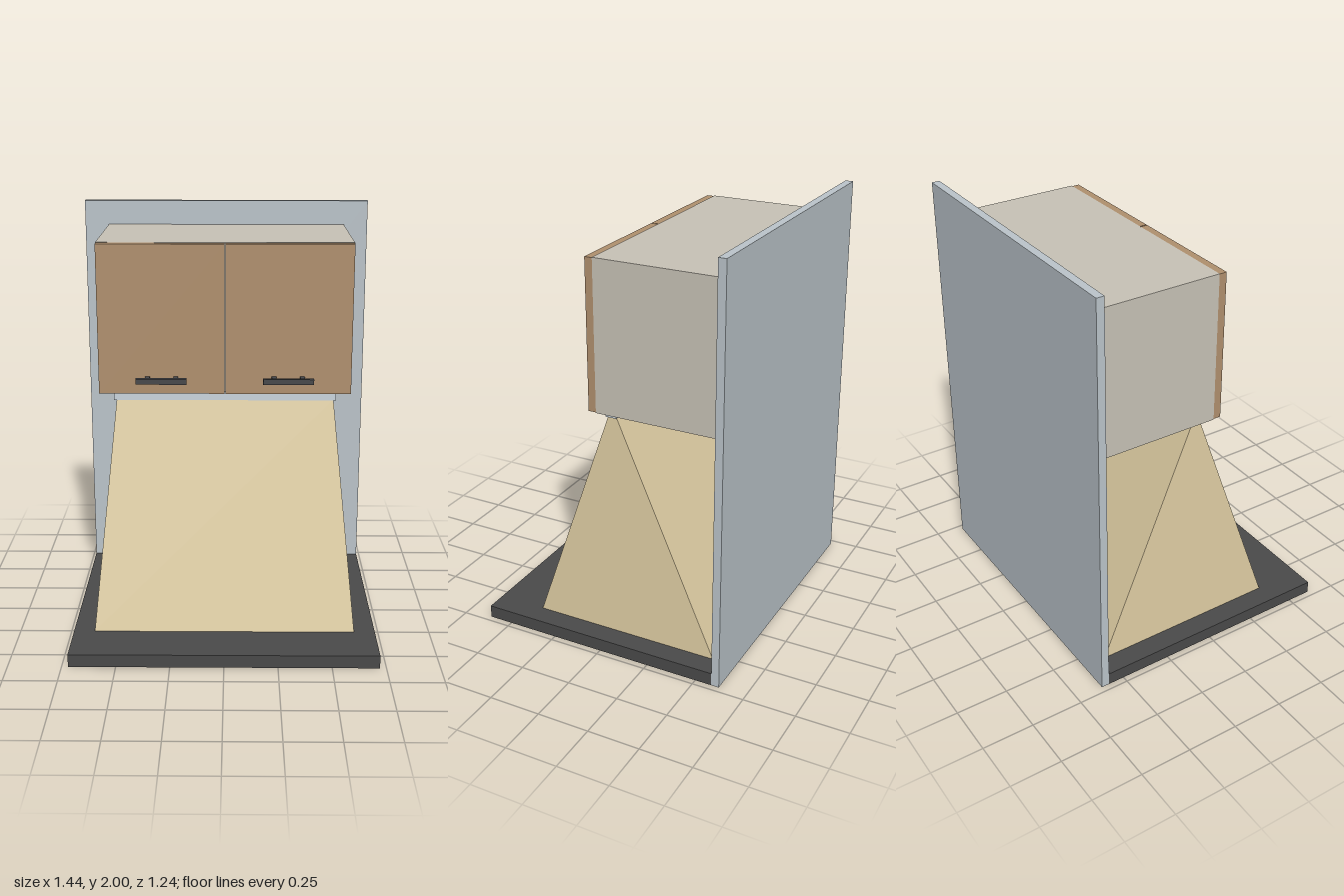
import * as THREE from 'three';

const material = (name, color) => {
  const m = new THREE.MeshStandardMaterial({ color });
  m.name = name;
  return m;
};

// Box given by its limits on each axis
function box(name, mat, [x0, x1], [y0, y1], [z0, z1]) {
  const mesh = new THREE.Mesh(new THREE.BoxGeometry(x1 - x0, y1 - y0, z1 - z0), mat);
  mesh.position.set((x0 + x1) / 2, (y0 + y1) / 2, (z0 + z1) / 2);
  mesh.name = name;
  return mesh;
}

export function createModel() {
  const wallBlue = material('wall blue grey', 0xbbc4ca);
  const charcoal = material('worktop charcoal', 0x4a4a4a);
  const cream = material('cabinet cream', 0xc7c2b6);
  const wood = material('door wood', 0xb0906e);
  const handleDark = material('handle dark', 0x47484b);
  const lampGrey = material('lamp pale grey', 0xcbd5de);
  const glow = material('light beam', 0xd9c89f);

  const model = new THREE.Group();
  model.name = 'wallCabinetWithLight';

  // Wall panel, worktop and cabinet body
  model.add(
    box('wall', wallBlue, [-0.72, 0.72], [0, 2], [-0.618, -0.58]),
    box('worktop', charcoal, [-0.72, 0.72], [0, 0.062], [-0.58, 0.618]),
    box('cabinetBody', cream, [-0.6, 0.6], [1.165, 1.88], [-0.58, 0.06]),
    box('lightBar', lampGrey, [-0.532, 0.532], [1.122, 1.165], [-0.003, 0.05])
  );

  // Pair of doors, each with a bar handle on two posts
  for (const side of [-1, 1]) {
    const door = new THREE.Group();
    door.name = side > 0 ? 'leftDoor' : 'rightDoor';
    const span = (a, b) => (side > 0 ? [a, b] : [-b, -a]);
    door.add(
      box('doorPanel', wood, span(0.003, 0.598), [1.167, 1.878], [0.06, 0.098]),
      box('handleBar', handleDark, span(0.18, 0.418), [1.229, 1.255], [0.142, 0.167])
    );
    for (const x of [0.232, 0.366]) {
      door.add(box('handlePost', handleDark, span(x - 0.011, x + 0.011), [1.232, 1.252], [0.098, 0.142]));
    }
    model.add(door);
  }

  // Light beam: a box whose lower and upper rims are moved to a flared wedge
  const beamGeometry = new THREE.BoxGeometry(1, 1, 1);
  const p = beamGeometry.attributes.position;
  for (let i = 0; i < p.count; i++) {
    const top = p.getY(i) > 0;
    const front = p.getZ(i) > 0;
    const halfWidth = top ? 0.52 : 0.62;
    const z = top ? (front ? 0.043 : 0.003) : (front ? 0.38 : -0.54);
    p.setXYZ(i, Math.sign(p.getX(i)) * halfWidth, top ? 1.124 : 0.064, z);
  }
  beamGeometry.computeVertexNormals();
  const beam = new THREE.Mesh(beamGeometry, glow);
  beam.name = 'lightBeam';
  model.add(beam);

  return model;
}
